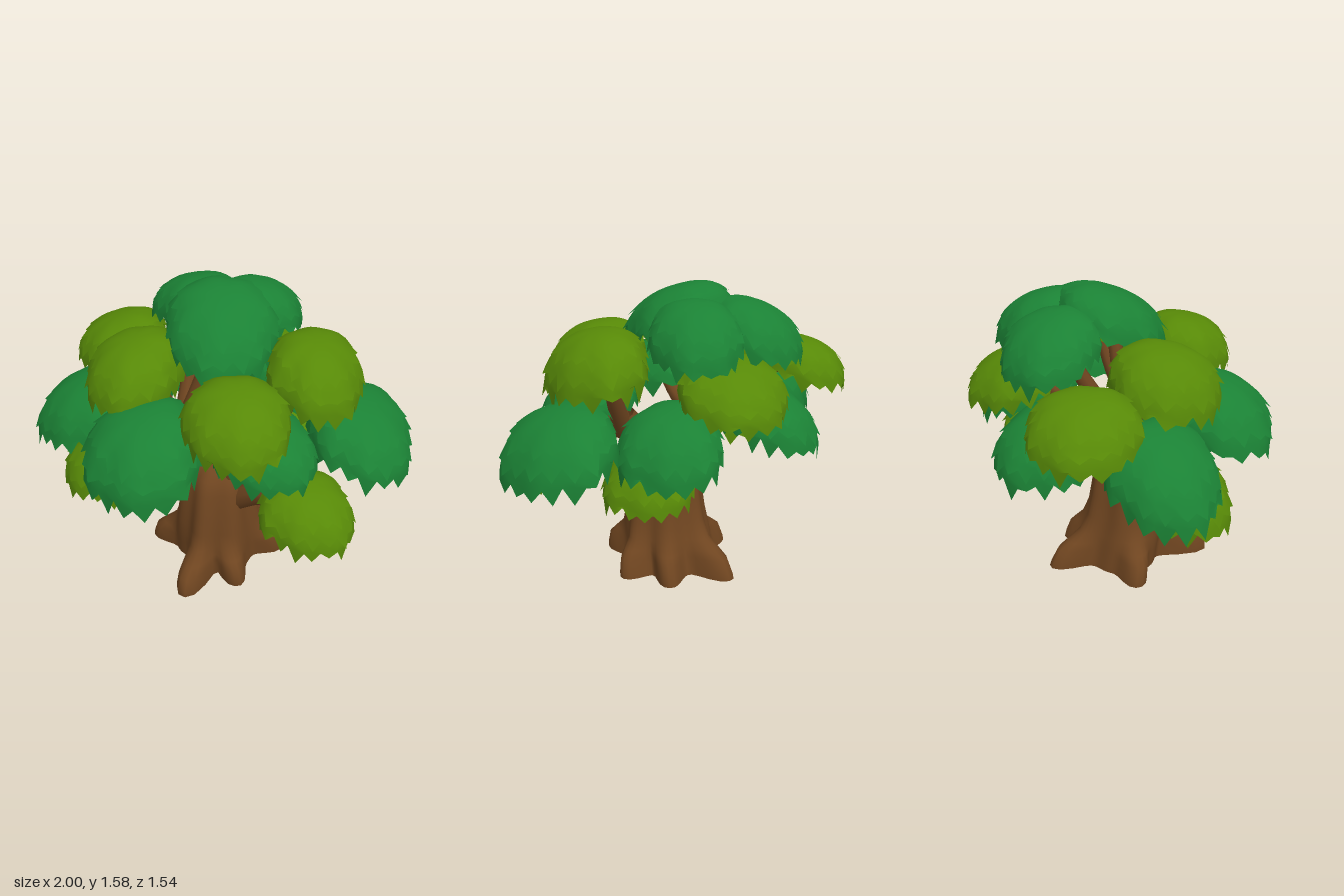
import * as THREE from 'three';
import { mergeGeometries, mergeVertices } from 'three/addons/utils/BufferGeometryUtils.js';

const V = (x, y, z) => new THREE.Vector3(x, y, z);

function seeded(seed) {
  let s = seed * 7919 + 17;
  return () => ((s = (s * 16807) % 2147483647) / 2147483647);
}

// Closed rings of points, listed from top to bottom, joined into a smooth skin
function loft(rows, segs, point) {
  const pos = [], idx = [];
  for (let i = 0; i < rows; i++)
    for (let j = 0; j < segs; j++) pos.push(...point(i, j).toArray());
  for (let i = 0; i < rows - 1; i++)
    for (let j = 0; j < segs; j++) {
      const k = (j + 1) % segs;
      const a = i * segs + j, b = i * segs + k, c = a + segs, d = b + segs;
      idx.push(a, b, c, b, d, c);
    }
  let g = new THREE.BufferGeometry();
  g.setAttribute('position', new THREE.Float32BufferAttribute(pos, 3));
  g.setIndex(idx);
  g = mergeVertices(g, 1e-5);
  g.computeVertexNormals();
  return g;
}

// Leaf clump: three overlapping dome layers, each ending in ragged leaf tips
function clumpGeometry(seed, rx, rz, h, lean) {
  const rnd = seeded(seed), segs = 36, rows = 7;
  const p1 = rnd() * 6.28, p2 = rnd() * 6.28;
  // [from angle, to angle, size, tip length]
  const layers = [[0, 0.85, 1.0, 0.2], [0.5, 1.24, 0.99, 0.25], [0.9, 1.64, 0.975, 0.36]];
  const geos = layers.map(([from, to, size, tip]) => {
    const tips = [], spread = [];
    for (let j = 0; j < segs; j++) {
      tips.push(j % 2 ? tip * rnd() : -tip * 0.5 * rnd());
      spread.push(j % 2 ? 0.06 * rnd() : 0);
    }
    return loft(rows, segs, (i, j) => {
      const t = i / (rows - 1), a = (j / segs) * Math.PI * 2;
      const edge = t === 1 ? 1 : 0;
      const phi = from + (to - from) * t + edge * tips[j];
      const bump = 1 + 0.035 * Math.sin(3 * a + p1) + 0.025 * Math.sin(7 * a + p2);
      const flare = size * (1 + 0.03 * t * t + edge * spread[j]);
      const r = Math.pow(Math.sin(phi), 0.82) * bump * flare;
      const x = Math.cos(a) * r * rx, z = Math.sin(a) * r * rz;
      return V(x, Math.cos(phi) * h * size - x * lean.x - z * lean.y, z);
    });
  });
  return mergeGeometries(geos);
}

// Tube that thins from r0 to r1 along a curve
function taperedTube(points, r0, r1) {
  const curve = new THREE.CatmullRomCurve3(points), n = 10, m = 9;
  const g = new THREE.TubeGeometry(curve, n, 1, m, false);
  const p = g.attributes.position, v = V();
  for (let i = 0; i <= n; i++) {
    const c = curve.getPointAt(i / n), r = r0 + (r1 - r0) * (i / n);
    for (let j = 0; j <= m; j++) {
      const k = i * (m + 1) + j;
      v.fromBufferAttribute(p, k).sub(c).multiplyScalar(r).add(c);
      p.setXYZ(k, v.x, v.y, v.z);
    }
  }
  return g;
}

// Root tips as [x, z]
const ROOTS = [[0.2, 0.33], [0.34, -0.05], [-0.06, 0.48], [-0.12, -0.39], [-0.4, 0.05], [0.2, -0.27]];
// Trunk rings as [height, radius, root strength]
const RINGS = [
  [0.66, 0.001, 0], [0.65, 0.1, 0], [0.6, 0.16, 0], [0.52, 0.185, 0.02], [0.4, 0.2, 0.05],
  [0.28, 0.215, 0.08], [0.19, 0.225, 0.2], [0.14, 0.23, 0.55], [0.1, 0.23, 0.84], [0.03, 0.235, 0.98], [0, 0.235, 1],
];

function trunkPoint(i, j, segs) {
  const [y, base, strength] = RINGS[i];
  const a = (j / segs) * Math.PI * 2;
  let grow = 0;
  for (const [x, z] of ROOTS) {
    let d = a - Math.atan2(z, x);
    d = Math.atan2(Math.sin(d), Math.cos(d));
    grow = Math.max(grow, (Math.hypot(x, z) - base) * Math.exp(-(Math.abs(d / 0.25) ** 2.6)));
  }
  const r = base * (1 + 0.05 * Math.cos(7 * a + 1)) + grow * strength;
  return V(Math.cos(a) * r - 0.01, y, Math.sin(a) * r + 0.055 * Math.min(y / 0.3, 1));
}

// Clumps: [x, z, top, rx, rz, height, lean, branch origin if any]
const DARK = [
  [-0.02, -0.05, 1.56, 0.28, 0.28, 0.22, 0.33, 'left'],
  [-0.26, -0.37, 1.5, 0.24, 0.24, 0.2, 0.3, 'left'],
  [0.1, -0.37, 1.52, 0.22, 0.24, 0.2, 0.28],
  [-0.25, 0.47, 1.14, 0.3, 0.29, 0.26, 0.25, 'left'],
  [-0.71, 0.1, 1.06, 0.28, 0.27, 0.24, 0.33, 'left'],
  [0.72, -0.13, 1.05, 0.27, 0.33, 0.24, 0.3],
  [0.31, 0.27, 1.09, 0.26, 0.24, 0.2, 0.18, 'right'],
  [0.29, -0.44, 1.05, 0.25, 0.26, 0.22, 0.28],
  [-0.35, -0.4, 1.05, 0.25, 0.26, 0.22, 0.28, 'left'],
];
const OLIVE = [
  [-0.41, 0.16, 1.37, 0.25, 0.27, 0.23, 0.2, 'left'],
  [-0.66, -0.26, 1.25, 0.24, 0.27, 0.2, 0.22, 'left'],
  [0.2, 0.39, 1.32, 0.26, 0.25, 0.22, 0.2, 'right'],
  [0.47, -0.07, 1.39, 0.24, 0.29, 0.24, 0.18, 'right'],
  [-0.02, -0.52, 1.26, 0.27, 0.25, 0.18, 0.27, 'left'],
  [-0.53, 0.25, 0.81, 0.26, 0.23, 0.21, 0.2, 'trunk'],
  [0.55, 0.32, 0.8, 0.24, 0.23, 0.21, 0.2, 'trunk'],
  [0.36, -0.36, 0.83, 0.22, 0.23, 0.19, 0.15, 'trunk'],
];

export function createModel() {
  const bark = new THREE.MeshStandardMaterial({ color: 0x6f4520, side: THREE.DoubleSide });
  const dark = new THREE.MeshStandardMaterial({ color: 0x1b8235, side: THREE.DoubleSide });
  const olive = new THREE.MeshStandardMaterial({ color: 0x578907, side: THREE.DoubleSide });
  bark.name = 'bark brown';
  dark.name = 'leaf green';
  olive.name = 'olive green';

  const tree = new THREE.Group();
  tree.name = 'tree';
  const add = (geometry, material, name) => {
    const mesh = new THREE.Mesh(geometry, material);
    mesh.name = name;
    tree.add(mesh);
    return mesh;
  };

  // Trunk with spreading roots, and its flat underside
  const segs = 72, last = RINGS.length - 1;
  add(loft(RINGS.length, segs, (i, j) => trunkPoint(i, j, segs)), bark, 'trunk');
  add(loft(2, segs, (i, j) => (i ? V(0, 0, 0) : trunkPoint(last, j, segs))), bark, 'trunkUnderside');

  // Two main limbs form the fork
  const forks = { left: V(-0.21, 0.83, 0.04), right: V(0.23, 0.87, 0.09) };
  add(taperedTube([V(-0.08, 0.44, 0.05), V(-0.13, 0.64, 0.05), forks.left], 0.13, 0.075), bark, 'leftLimb');
  add(taperedTube([V(0.05, 0.44, 0.06), V(0.1, 0.64, 0.07), forks.right], 0.13, 0.065), bark, 'rightLimb');

  // Leaf clumps lean away from the crown's middle, most of them on their own branch
  const grow = (list, material, label) => list.forEach(([x, z, top, rx, rz, h, slope, origin], n) => {
    const lean = new THREE.Vector2(x + 0.06, z + 0.16).setLength(slope);
    const clump = add(clumpGeometry(n + label.length * 31, rx, rz, h, lean), material, label + 'Clump' + (n + 1));
    clump.position.set(x, top - h, z);
    if (!origin) return;

    const low = origin === 'trunk', len = Math.hypot(x, z);
    const start = low ? V((x / len) * 0.12, 0.44, (z / len) * 0.12 + 0.04) : forks[origin].clone().setY(0.78);
    const end = V(x * 0.9, top - h * (low ? 0.9 : 0.6), z * 0.9);
    const mid = start.clone().lerp(end, 0.5);
    mid.y += low ? 0.05 : -0.03;
    add(taperedTube([start, mid, end], low ? 0.075 : 0.055, 0.03), bark, label + 'Branch' + (n + 1));
  });
  grow(DARK, dark, 'green');
  grow(OLIVE, olive, 'olive');
  return tree;
}
